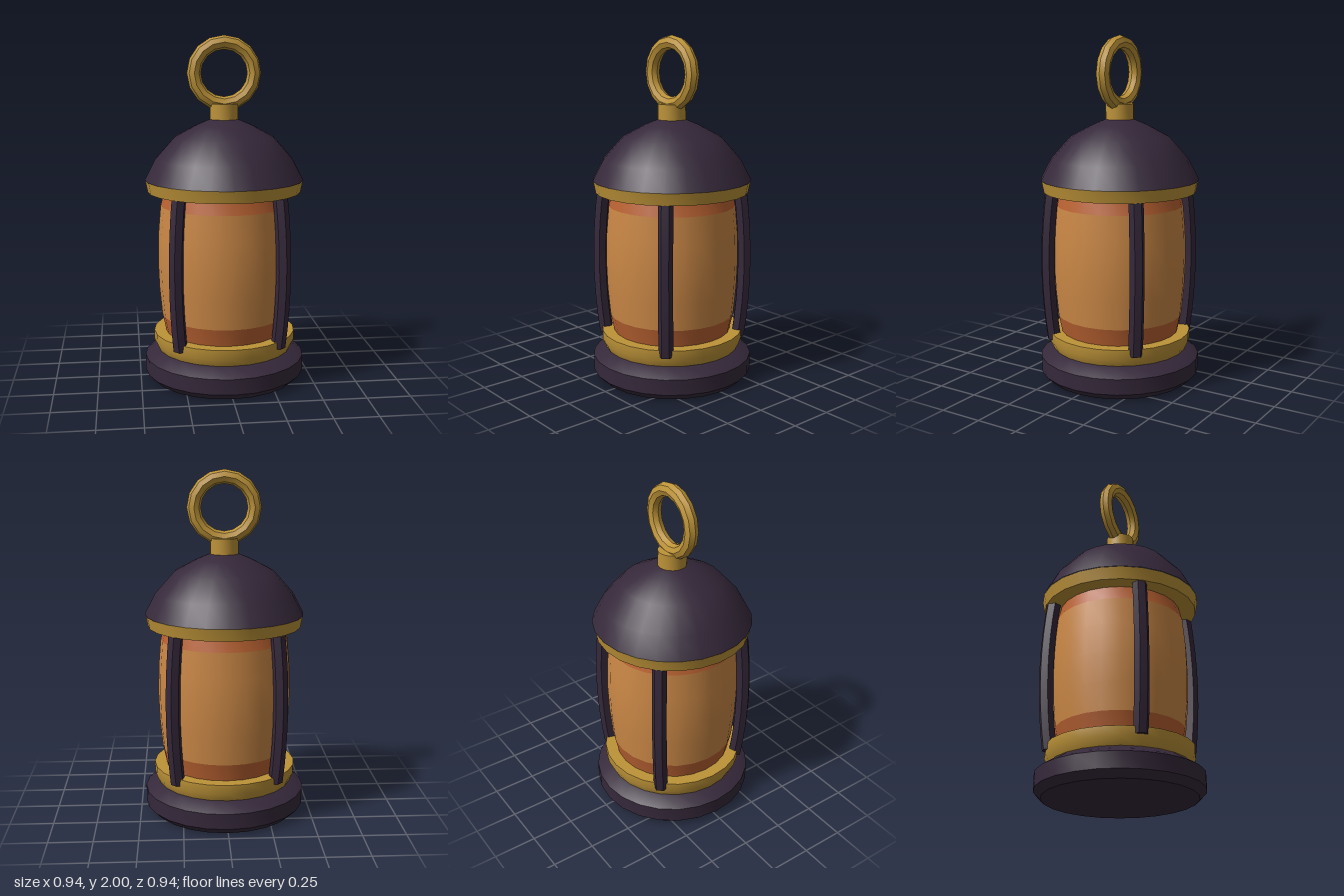
import * as THREE from 'three';
import { toCreasedNormals } from 'three/addons/utils/BufferGeometryUtils.js';

const SIDES = 24;
const CREASE = 0.6;

function material(name, color) {
  const m = new THREE.MeshStandardMaterial({ color });
  m.name = name;
  return m;
}

export function createModel() {
  const group = new THREE.Group();
  const iron = material('dark iron', 0x35283a);
  const brass = material('brass', 0xbd9338);
  const glow = material('amber glass', 0xcb8846);
  const ember = material('ember glass', 0xb86131);

  function add(name, geometry, mat) {
    const mesh = new THREE.Mesh(toCreasedNormals(geometry, CREASE), mat);
    mesh.name = name;
    group.add(mesh);
    return mesh;
  }

  // Turned part from [radius, height] pairs, listed from bottom to top
  function turned(name, profile, mat) {
    const points = profile.map(([r, y]) => new THREE.Vector2(r, y));
    return add(name, new THREE.LatheGeometry(points, SIDES), mat);
  }

  // Base
  turned('base', [[0, 0], [0.43, 0], [0.47, 0.04], [0.47, 0.13], [0.39, 0.18], [0, 0.18]], iron);
  turned('lowerBand', [[0, 0.18], [0.395, 0.18], [0.416, 0.225], [0.416, 0.28], [0, 0.28]], brass);

  // Barrel-shaped glass with darker ends
  turned('glassBottom', [[0.344, 0.27], [0.367, 0.38]], ember);
  turned('glass', [[0.367, 0.38], [0.382, 0.54], [0.388, 0.7], [0.384, 0.87], [0.37, 1.03]], glow);
  turned('glassTop', [[0.37, 1.03], [0.347, 1.12]], ember);

  // Four bowed bars on the diagonals
  const bottom = 0.24, top = 1.14, height = top - bottom;
  for (let i = 0; i < 4; i++) {
    const geometry = new THREE.CylinderGeometry(0.042, 0.042, height, 6, 8);
    const p = geometry.attributes.position;
    for (let k = 0; k < p.count; k++) {
      const t = p.getY(k) / (height / 2);
      p.setX(k, p.getX(k) + 0.395 + 0.032 * (1 - t * t));
    }
    geometry.translate(0, bottom + height / 2, 0);
    geometry.computeVertexNormals();
    add('bar' + (i + 1), geometry, iron).rotation.y = Math.PI / 4 + i * Math.PI / 2;
  }

  // Roof
  turned('upperBand', [[0, 1.11], [0.443, 1.11], [0.457, 1.18], [0, 1.18]], brass);
  turned('roof', [[0.46, 1.18], [0.397, 1.3], [0.286, 1.425], [0.155, 1.495], [0.07, 1.53], [0, 1.535]], iron);

  // Collar and carrying ring
  turned('collar', [[0, 1.51], [0.081, 1.51], [0.081, 1.615], [0, 1.615]], brass);
  const ring = new THREE.TorusGeometry(0.173, 0.04, 8, 16);
  add('ring', ring, brass).position.y = 1.787;

  return group;
}
